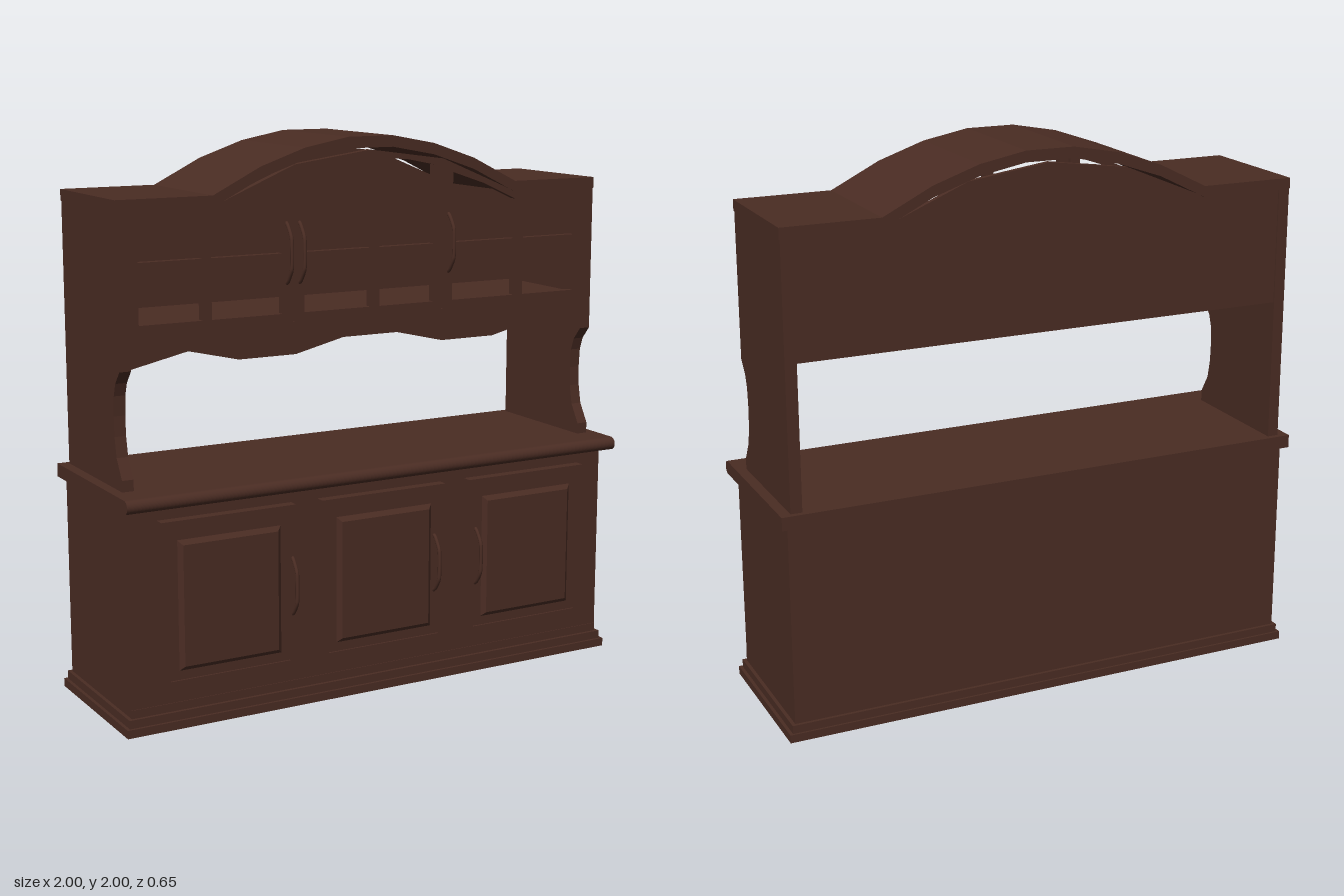
import * as THREE from 'three';

const wood = new THREE.MeshStandardMaterial({ color: 0x4a2c23 });
wood.name = 'dark walnut';

const V = (x, y) => new THREE.Vector2(x, y);

function add(parent, name, geometry) {
  const mesh = new THREE.Mesh(geometry, wood);
  mesh.name = name;
  parent.add(mesh);
  return mesh;
}

// Box given by its min and max corners
function box(parent, name, x0, x1, y0, y1, z0, z1) {
  const g = new THREE.BoxGeometry(x1 - x0, y1 - y0, z1 - z0);
  g.translate((x0 + x1) / 2, (y0 + y1) / 2, (z0 + z1) / 2);
  return add(parent, name, g);
}

// Front outline (x, y) extruded from z0 to z1, with optional holes
function plate(parent, name, points, z0, z1, holes = []) {
  const shape = new THREE.Shape(points);
  for (const h of holes) shape.holes.push(new THREE.Path(h));
  const g = new THREE.ExtrudeGeometry(shape, { depth: z1 - z0, bevelEnabled: false });
  g.translate(0, 0, z0);
  return add(parent, name, g);
}

// Side outline (z, y) extruded from x0 to x1
function sidePlate(parent, name, points, x0, x1) {
  const g = new THREE.ExtrudeGeometry(new THREE.Shape(points), { depth: x1 - x0, bevelEnabled: false, curveSegments: 10 });
  g.rotateY(-Math.PI / 2);
  g.translate(x1, 0, 0);
  return add(parent, name, g);
}

const rect = (x0, x1, y0, y1) => [V(x0, y0), V(x1, y0), V(x1, y1), V(x0, y1)];

// Right-half points, running outside to centre, mirrored to a full line
const mirror = (half) => [
  ...half.map(([x, y]) => V(x, y)),
  ...half.filter(([x]) => x > 0).reverse().map(([x, y]) => V(-x, y)),
];

// Bowed pull handle
function handle(parent, name, x, y, z, out) {
  const pts = [[-0.105, -0.005], [-0.095, 0.008], [-0.05, out], [0.05, out], [0.095, 0.008], [0.105, -0.005]]
    .map(([dy, dz]) => new THREE.Vector3(x, y + dy, z + dz));
  const curve = new THREE.CatmullRomCurve3(pts, false, 'catmullrom', 0.3);
  add(parent, name, new THREE.TubeGeometry(curve, 20, 0.007, 8));
}

// Raised-panel door of the base cabinet
function baseDoor(parent, cx) {
  const door = new THREE.Group();
  door.name = 'baseDoor';
  const w = 0.255, y0 = 0.15, y1 = 0.745;
  plate(door, 'doorFrame', rect(cx - w, cx + w, y0, y1), 0.245, 0.287,
    [rect(cx - w + 0.025, cx + w - 0.025, y0 + 0.03, y1 - 0.03)]);
  box(door, 'doorField', cx - w + 0.02, cx + w - 0.02, y0 + 0.02, y1 - 0.02, 0.245, 0.28);
  const panel = new THREE.ExtrudeGeometry(new THREE.Shape(rect(cx - 0.18, cx + 0.18, 0.23, 0.66)), {
    depth: 0.01, bevelThickness: 0.014, bevelSize: 0.016, bevelSegments: 1,
  });
  panel.translate(0, 0, 0.273);
  add(door, 'raisedPanel', panel);
  parent.add(door);
}

export function createModel() {
  const model = new THREE.Group();
  model.name = 'kitchenDresser';

  // Base cabinet
  const base = new THREE.Group();
  base.name = 'baseCabinet';
  model.add(base);
  box(base, 'lowerPlinth', -1, 1, 0, 0.03, -0.325, 0.275);
  box(base, 'upperPlinth', -0.988, 0.988, 0.03, 0.06, -0.317, 0.265);
  box(base, 'cabinetBody', -0.975, 0.975, 0.06, 0.795, -0.305, 0.25);
  box(base, 'skirtingStrip', -0.975, 0.975, 0.06, 0.09, 0.24, 0.253);
  for (const cx of [-0.612, 0.003, 0.617]) baseDoor(base, cx);
  for (const x of [-0.37, 0.215, 0.395]) handle(base, 'baseHandle', x, 0.452, 0.285, 0.034);

  // Countertop with a rounded front edge
  const top = new THREE.Shape();
  top.moveTo(-0.325, 0.792);
  top.lineTo(0.292, 0.792);
  top.absarc(0.292, 0.816, 0.024, -Math.PI / 2, Math.PI / 2, false);
  top.lineTo(-0.325, 0.84);
  sidePlate(base, 'countertop', top.getPoints(10), -1, 1);

  // Upper cabinet
  const hutch = new THREE.Group();
  hutch.name = 'upperCabinet';
  model.add(hutch);
  const zBack = -0.305, zFront = 0.185;

  // Side panels with a scooped front edge
  const side = [[zBack, 0.84], [zFront, 0.84], [zFront, 0.88], [0.143, 0.95], [0.129, 1.02], [0.126, 1.09],
    [0.131, 1.16], [0.147, 1.205], [zFront, 1.25], [zFront, 1.785], [zBack, 1.785]].map(([z, y]) => V(z, y));
  for (const s of [-1, 1]) {
    sidePlate(hutch, 'sidePanel', side, s > 0 ? 0.92 : -0.962, s > 0 ? 0.962 : -0.92);
  }

  // Arched roof slab
  const arch = [[0.965, 1.82], [0.61, 1.82], [0.43, 1.91], [0.26, 1.968], [0.09, 2]];
  const outer = mirror(arch);
  const inner = outer.map((p) => V(p.x, p.y - 0.04)).reverse();
  plate(hutch, 'archedRoof', [...outer, ...inner], zBack, zFront);

  // Front and back boards stop just under the arch
  const boardTop = mirror([[0.92, 1.785], [0.605, 1.785], [0.3, 1.912], [0, 1.953]]);
  const scallop = mirror([[0.92, 1.255], [0.71, 1.3], [0.52, 1.255], [0.3, 1.255], [0.11, 1.3]]).reverse();

  // Window openings: x range and the height of the top at each end
  const windows = [
    [-0.888, -0.655, 1.745, 1.745], [-0.62, -0.35, 1.755, 1.862], [-0.265, 0, 1.892, 1.922],
    [0.037, 0.262, 1.922, 1.892], [0.342, 0.612, 1.862, 1.755], [0.65, 0.88, 1.745, 1.745],
  ];
  const holes = [];
  for (const [x0, x1, t0, t1] of windows) {
    holes.push(rect(x0, x1, 1.4, 1.57));
    holes.push([V(x0, 1.61), V(x1, 1.61), V(x1, t1), V((x0 + x1) / 2, (t0 + t1) / 2 + (t0 === t1 ? 0 : 0.008)), V(x0, t0)]);
  }
  // Narrow gaps between the doors
  for (const x of [-0.306, 0.3]) holes.push(rect(x - 0.005, x + 0.005, 1.37, 1.895));
  plate(hutch, 'windowFront', [...boardTop, ...scallop], 0.155, zFront - 0.001, holes);

  plate(hutch, 'backBoard', [...boardTop, V(-0.92, 1.36), V(0.92, 1.36)], -0.3, -0.28);
  box(hutch, 'cabinetFloor', -0.92, 0.92, 1.36, 1.385, -0.28, 0.155);
  for (const x of [-0.332, -0.282, 0.325]) handle(hutch, 'upperHandle', x, 1.61, zFront, 0.035);

  return model;
}
